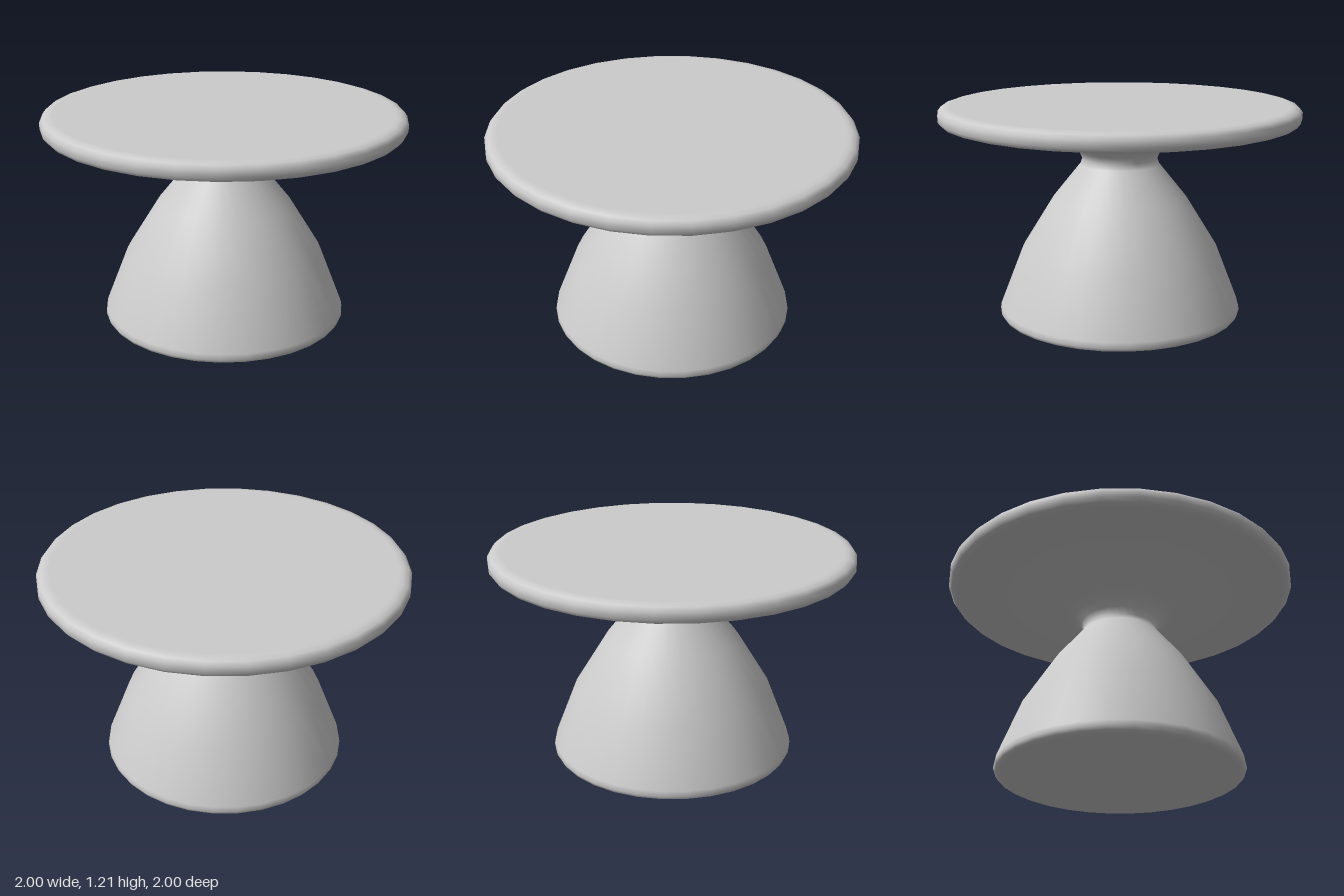
import * as THREE from 'three';

const material = new THREE.MeshStandardMaterial({ color: 0xcccccc });

// Turned part from [radius, height] pairs, listed bottom to top
function turned(name, profile) {
  const points = profile.map(([r, y]) => new THREE.Vector2(r, y));
  const mesh = new THREE.Mesh(new THREE.LatheGeometry(points, 32), material);
  mesh.name = name;
  return mesh;
}

export function createModel() {
  const model = new THREE.Group();
  model.name = 'pedestalTable';

  // Bell-shaped foot, narrow waist and flared support
  model.add(turned('pedestal', [
    [0, 0], [0.64, 0], [0.658, 0.002], [0.677, 0.011], [0.687, 0.03], [0.682, 0.06],
    [0.555, 0.385], [0.378, 0.672], [0.222, 0.866],
    [0.21, 0.9], [0.226, 0.937], [0.264, 0.973], [0.323, 1.004],
    [0.67, 1.107],
  ]));

  // Round top with a soft rim
  model.add(turned('tableTop', [
    [0, 1.105], [0.93, 1.105], [0.955, 1.106], [0.983, 1.115], [1, 1.137],
    [1, 1.174], [0.983, 1.196], [0.955, 1.205], [0.93, 1.206], [0, 1.206],
  ]));

  return model;
}
